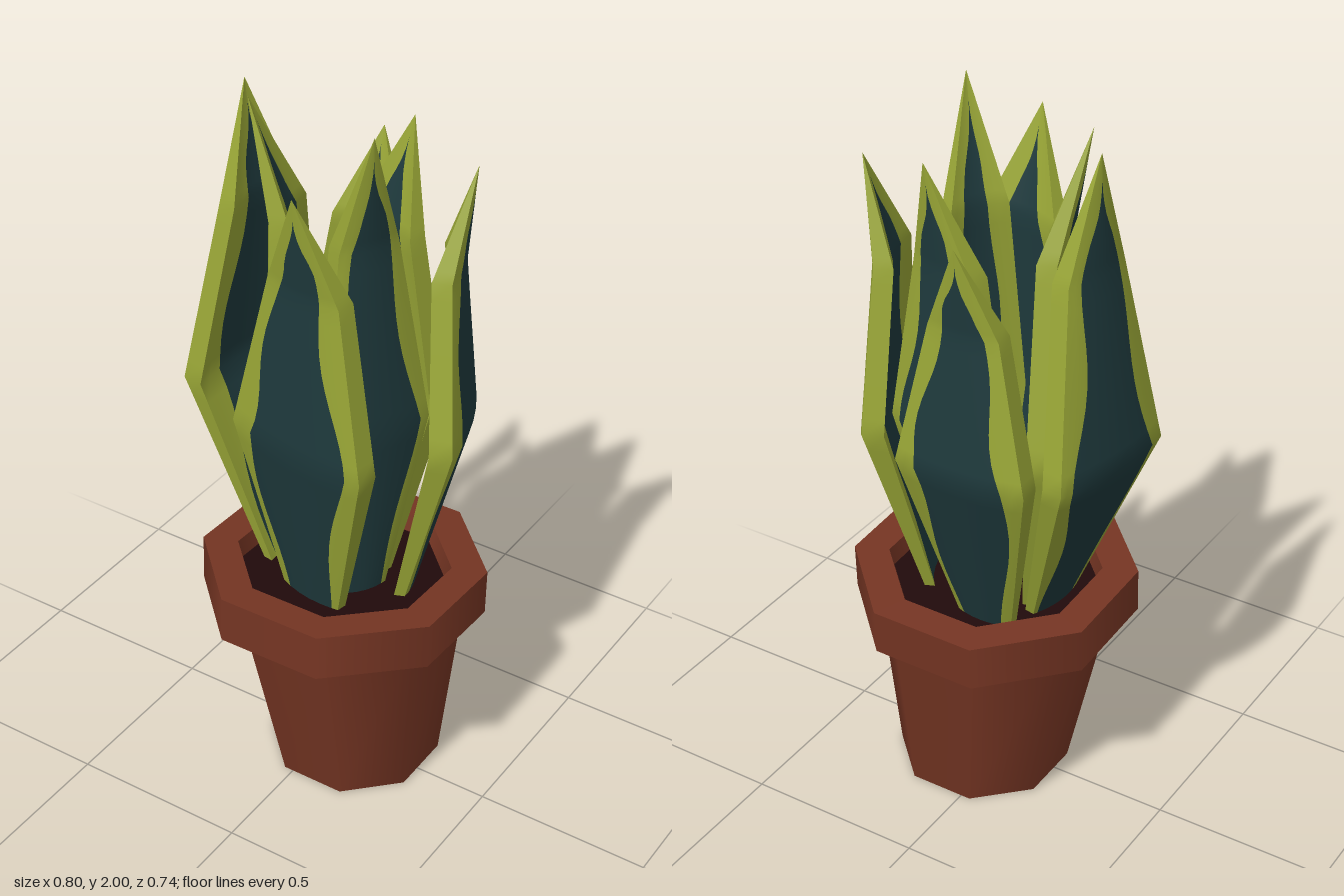
import * as THREE from 'three';
import { mergeGeometries } from 'three/addons/utils/BufferGeometryUtils.js';

const material = (name, color, extra = {}) => {
  const m = new THREE.MeshStandardMaterial({ color, ...extra });
  m.name = name;
  return m;
};
const lerp = THREE.MathUtils.lerp;
const PHASE = THREE.MathUtils.degToRad(22.5); // octagon flats face the axes

// Each leaf: base centre [x, z], left and right edge at the widest row
// (seen from outside), tip [x, y, z]
const LEAVES = [
  { base: [0.03, 0.13], left: [-0.17, 0.17], right: [0.265, 0.245], tip: [0.07, 1.88, 0.28] },
  { base: [-0.04, -0.16], left: [0.115, -0.32], right: [-0.26, -0.31], tip: [-0.07, 1.77, -0.35] },
  { base: [0.05, -0.09], left: [0.24, -0.14], right: [-0.14, -0.24], tip: [0.1, 1.9, -0.22] },
  { base: [0.11, 0.03], left: [0.06, 0.16], right: [0.21, -0.11], tip: [0.19, 2.0, 0.11] },
  { base: [0.19, -0.06], left: [0.365, 0.06], right: [0.225, -0.29], tip: [0.32, 1.85, -0.16] },
  { base: [-0.08, 0.0], left: [-0.22, -0.21], right: [-0.09, 0.12], tip: [-0.22, 1.97, 0.04] },
  { base: [-0.14, -0.01], left: [-0.305, -0.28], right: [-0.37, 0.11], tip: [-0.3, 1.96, -0.06] },
];

// Thick curved blade: pale margin and rims, wavy dark centre on both faces
function leafGeometry({ base, left, right, tip }, seed) {
  const across = new THREE.Vector2(right[0] - left[0], right[1] - left[1]);
  const half = across.length() / 2;
  across.normalize();
  const out = new THREE.Vector2(-across.y, across.x);
  const mid = [(left[0] + right[0]) / 2, (left[1] + right[1]) / 2];
  const neck = [0, 1].map((k) => lerp(mid[k], tip[k * 2], 0.5) - out.getComponent(k) * 0.045);
  // rows: x, y, z, half width, half thickness, bulge, outer and inner dark share
  const rows = [
    [base[0], 0.58, base[1], half * 0.42, 0.014, 0.015, 0.78, 0.7],
    [mid[0], 1.13, mid[1], half, 0.03, 0.025, 0.72, 0.6],
    [neck[0], lerp(1.13, tip[1], 0.62), neck[1], half * 0.54, 0.026, 0.018, 0.58, 0.42],
    [tip[0], tip[1], tip[2], 0, 0, 0, 0.5, 0.3],
  ];
  const STEPS = 30;
  const positions = [], pale = [], dark = [];

  // One face of the blade; columns(s, shares) gives [u, side] pairs
  const addFace = (columns, isDark) => {
    const start = positions.length / 3;
    let count = 0;
    for (let i = 0; i <= STEPS; i++) {
      const s = (i / STEPS) * 3;
      const k = Math.min(2, Math.floor(s));
      const [x, y, z, w, thick, bulge, ...shares] = rows[k].map((v, n) => lerp(v, rows[k + 1][n], s - k));
      const section = columns(s, shares);
      count = section.length;
      for (const [u, side] of section) {
        const depth = side * thick + (1 - u * u) * bulge;
        positions.push(x + across.x * u * w + out.x * depth, y,
          z + across.y * u * w + out.y * depth);
      }
    }
    for (let i = 0; i < STEPS; i++) {
      for (let j = 0; j < count - 1; j++) {
        const a = start + i * count + j, c = a + count;
        (isDark(j) ? dark : pale).push(a, a + 1, c + 1, a, c + 1, c);
      }
    }
  };

  for (const side of [1, -1]) {
    const phase = seed * 1.7 + side;
    addFace((s, [outer, inner]) => {
      const f = (side > 0 ? outer : inner) * Math.min(1, Math.max(0, (2.75 - s) / 0.4));
      const wave = 0.1 * Math.min(1, f * 2);
      const lo = -f + wave * Math.sin(s * 6 + phase);
      const hi = f + wave * Math.sin(s * 5 + phase * 1.4 + 1);
      const us = [-1, (lo - 1) / 2, lo, lerp(lo, hi, 0.25), lerp(lo, hi, 0.5),
        lerp(lo, hi, 0.75), hi, (hi + 1) / 2, 1];
      return us.map((u) => [u * side, side]);
    }, (j) => j >= 2 && j < 6);
    // rim wall along the edge
    addFace(() => [[side, side], [side, -side]], () => false);
  }
  const g = new THREE.BufferGeometry();
  g.setAttribute('position', new THREE.Float32BufferAttribute(positions, 3));
  g.setIndex([...pale, ...dark]);
  g.addGroup(0, pale.length, 0);
  g.addGroup(pale.length, dark.length, 1);
  g.computeVertexNormals();
  return g;
}

// Eight-sided ring from a profile of [radius, y]: smooth around, sharp along the profile
function octagon(profile) {
  const points = profile.map((p) => new THREE.Vector2(...p));
  return mergeGeometries(points.slice(1).map((p, i) => new THREE.LatheGeometry([points[i], p], 8, PHASE)));
}

export function createModel() {
  const model = new THREE.Group();
  model.name = 'pottedPlant';
  const clay = material('terracotta', 0x753523);
  const earth = material('soil', 0x200a0b);
  const margin = material('leafMargin', 0x98a536, { side: THREE.DoubleSide });
  const centre = material('leafCentre', 0x1e393c, { side: THREE.DoubleSide });
  const add = (parent, name, geometry, mat) => {
    const mesh = new THREE.Mesh(geometry, mat);
    mesh.name = name;
    parent.add(mesh);
  };

  // Tapered pot body, leaning slightly
  const body = new THREE.CylinderGeometry(0.33, 0.24, 0.55, 8, 1, false, PHASE);
  body.translate(0, 0.275, 0);
  const p = body.attributes.position;
  for (let i = 0; i < p.count; i++) {
    const t = p.getY(i) / 0.55;
    p.setX(i, p.getX(i) + lerp(0.065, 0.037, t));
    p.setZ(i, p.getZ(i) + lerp(-0.02, -0.01, t));
  }
  add(model, 'potBody', body, clay);

  // Tilted rim holding the soil
  const top = new THREE.Group();
  top.name = 'potTop';
  top.position.set(0.037, 0.585, 0);
  top.rotation.set(-0.055, 0, 0.01);
  model.add(top);
  add(top, 'rim', octagon([[0.3, -0.065], [0.392, -0.065], [0.392, 0.065], [0.295, 0.065], [0.28, 0]]), clay);
  add(top, 'soil', octagon([[0.29, 0.015], [0, 0.015]]), earth);

  // Ring of upright leaves
  const leaves = new THREE.Group();
  leaves.name = 'leaves';
  model.add(leaves);
  LEAVES.forEach((leaf, i) => add(leaves, `leaf${i + 1}`, leafGeometry(leaf, i), [margin, centre]));
  return model;
}
